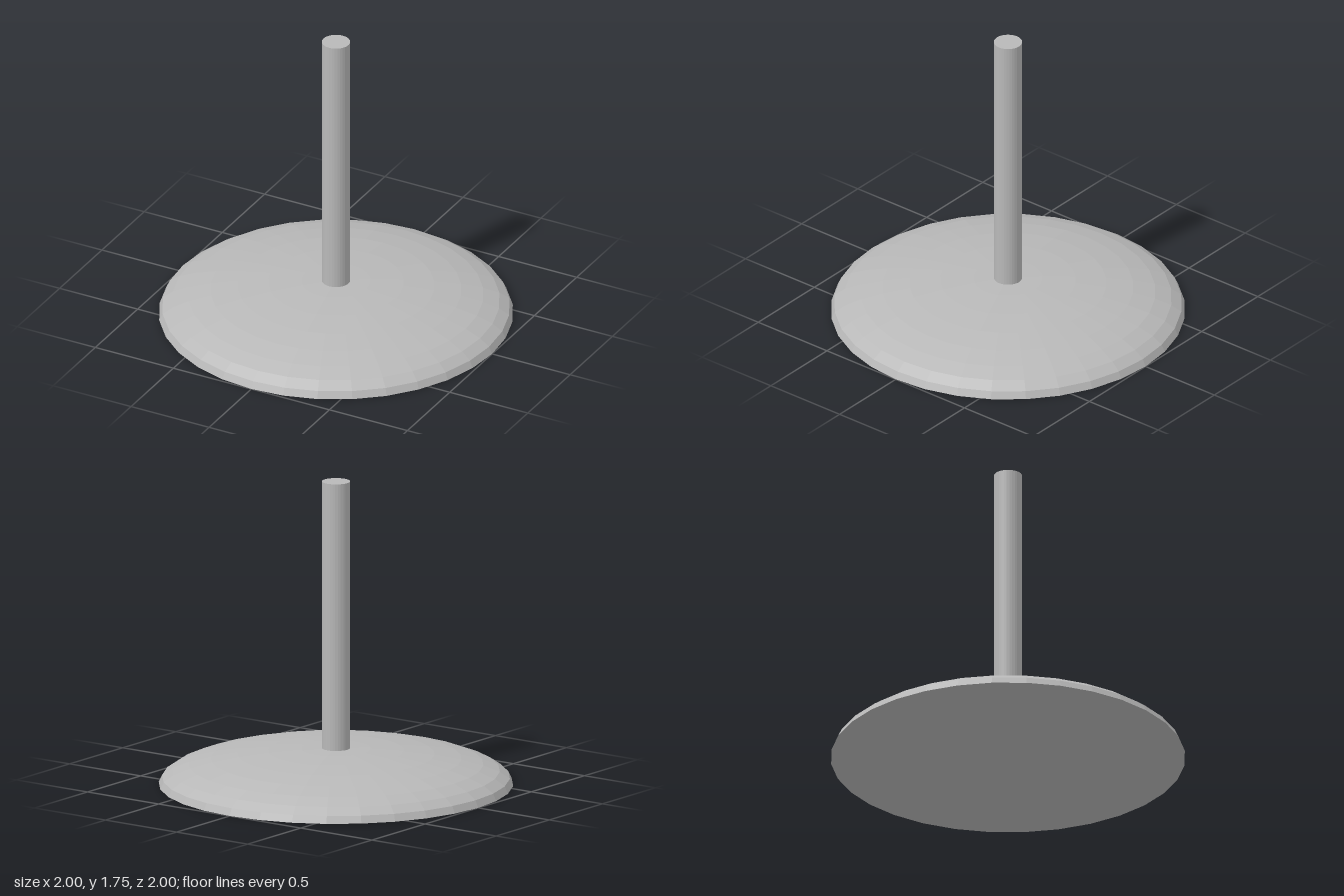
import * as THREE from 'three';

export function createModel() {
  const group = new THREE.Group();
  const grey = new THREE.MeshStandardMaterial({ color: 0xb8b8b8, flatShading: true });
  grey.name = 'plain grey';

  const add = (name, geometry, y) => {
    const mesh = new THREE.Mesh(geometry, grey);
    mesh.name = name;
    mesh.position.y = y;
    group.add(mesh);
  };

  const baseHeight = 0.21;
  const poleTop = 1.75;
  const poleBottom = 0.19;

  // Domed base: upper half of a flattened sphere
  const dome = new THREE.SphereGeometry(1, 32, 8, 0, Math.PI * 2, 0, Math.PI / 2);
  dome.scale(1, baseHeight, 1);
  add('base', dome, 0);

  // Flat underside closing the base
  const underside = new THREE.CircleGeometry(1, 32);
  underside.rotateX(Math.PI / 2);
  add('baseUnderside', underside, 0);

  // Upright pole, sunk slightly into the dome
  const pole = new THREE.CylinderGeometry(0.08, 0.08, poleTop - poleBottom, 32);
  add('pole', pole, (poleTop + poleBottom) / 2);

  return group;
}
